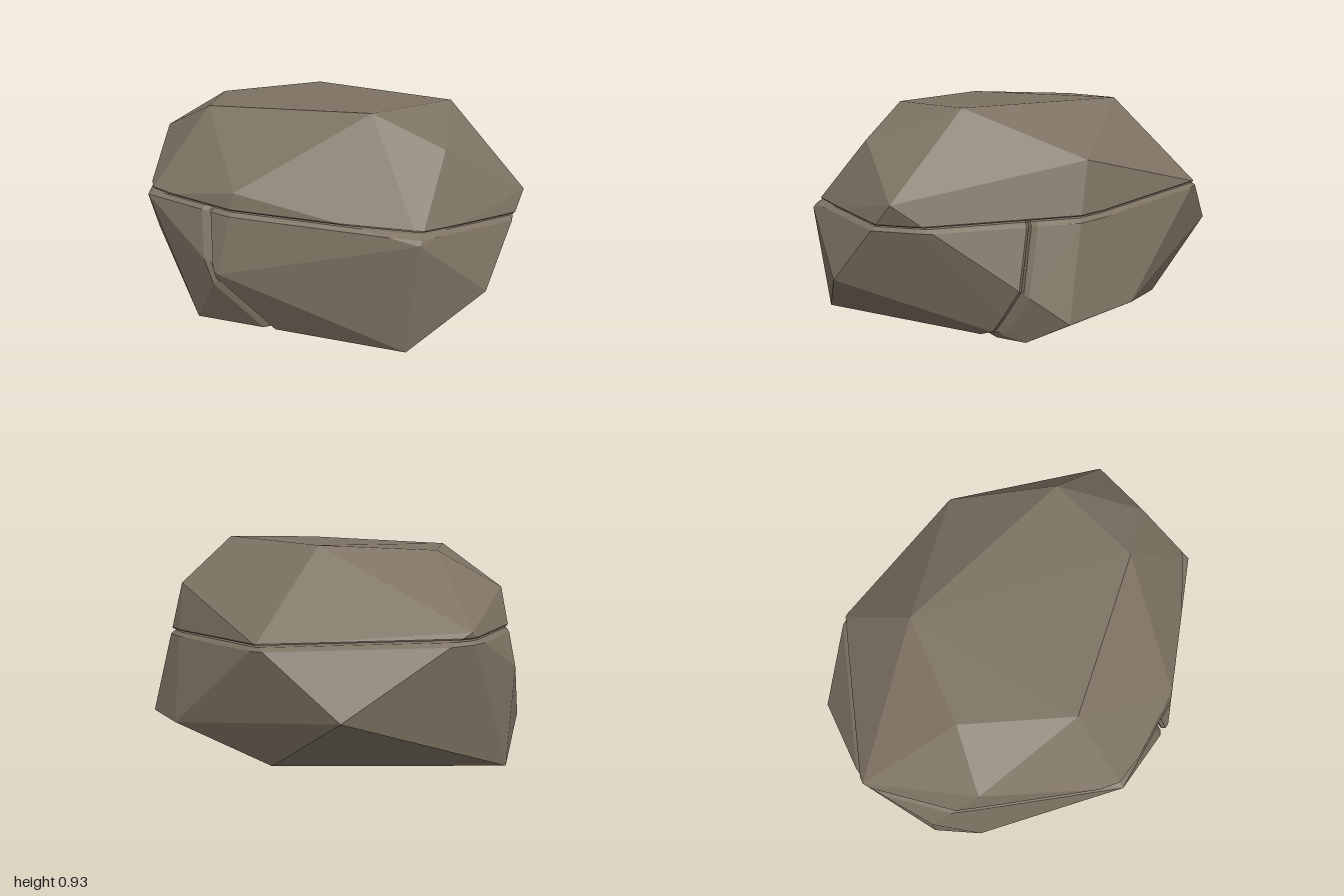
import * as THREE from 'three';
import { ConvexGeometry } from 'three/addons/geometries/ConvexGeometry.js';

const V = (x, y, z) => new THREE.Vector3(x, y, z);

// Corners of the whole boulder
const corners = [
  // crown
  V(-0.24, 0.9, 0.48), V(0.5, 0.92, 0.22), V(0.57, 0.93, -0.25), V(-0.34, 0.915, -0.36), V(-0.58, 0.89, 0.1),
  // shoulders
  V(0.29, 0.73, -0.68), V(0.79, 0.79, 0.1), V(0.96, 0.59, -0.25), V(-0.74, 0.73, 0.34), V(0.19, 0.62, 0.72), V(-1, 0.6, -0.12),
  // waist
  V(-0.29, 0.54, 0.8), V(0.88, 0.47, 0.38), V(1, 0.23, 0.08), V(0.16, 0.28, 0.79), V(-0.94, 0.42, 0.21),
  V(-0.45, 0.54, -0.75), V(-0.81, 0.28, -0.61), V(-0.82, 0.17, 0.38), V(0.14, 0.12, -0.81), V(0.48, 0.1, -0.75),
  // foot
  V(-0.07, 0, 0.72), V(0.82, 0, 0.37), V(0.55, 0, -0.58), V(-0.345, 0, -0.61), V(-0.94, 0, 0.17),
];

// Where the edges of a hull cross the plane n.p = d, and the corners beyond it
function slice(points, n, d) {
  const pos = new ConvexGeometry(points).getAttribute('position');
  const kept = new Map(), ring = new Map();
  const add = (map, p) => map.set(p.toArray().map((v) => v.toFixed(4)).join(), p);
  for (let i = 0; i < pos.count; i++) {
    const a = V().fromBufferAttribute(pos, i);
    const b = V().fromBufferAttribute(pos, i % 3 === 2 ? i - 2 : i + 1);
    const da = n.dot(a) - d, db = n.dot(b) - d;
    if (da >= 0) add(kept, a);
    if (da * db < 0) add(ring, a.clone().lerp(b, da / (da - db)));
  }
  return { kept: [...kept.values()], ring: [...ring.values()] };
}

// Keep the side n points to, with half a crack of clearance and a softened rim
function split(points, n, d, gap = 0.005, bevel = 0.016) {
  const face = slice(points, n, d + gap).ring;
  const { kept, ring } = slice(points, n, d + gap + bevel);
  const centre = face.reduce((s, p) => s.add(p), V(0, 0, 0)).divideScalar(face.length);
  const inset = face.map((p) => p.clone().lerp(centre, bevel / p.distanceTo(centre)));
  return [...kept, ...ring, ...inset];
}

export function createModel() {
  const group = new THREE.Group();
  group.name = 'boulder';
  const stone = new THREE.MeshStandardMaterial({ color: 0x7d7262 });
  stone.name = 'stone';

  // Two cracks: one nearly level, one steep through the lower half
  const level = V(0.037, 1, -0.02), levelD = 0.535 / level.length();
  const steep = V(1.12, 0.3, 0.38), steepD = 0.51 / steep.length();
  level.normalize();
  steep.normalize();
  const flip = (n) => n.clone().negate();

  const lower = split(corners, flip(level), -levelD);
  const chunks = {
    upperChunk: split(corners, level, levelD, 0.003, 0.006),
    lowerLeftChunk: split(lower, steep, steepD),
    lowerRightChunk: split(lower, flip(steep), -steepD),
  };
  for (const [name, points] of Object.entries(chunks)) {
    const mesh = new THREE.Mesh(new ConvexGeometry(points), stone);
    mesh.name = name;
    group.add(mesh);
  }
  return group;
}
